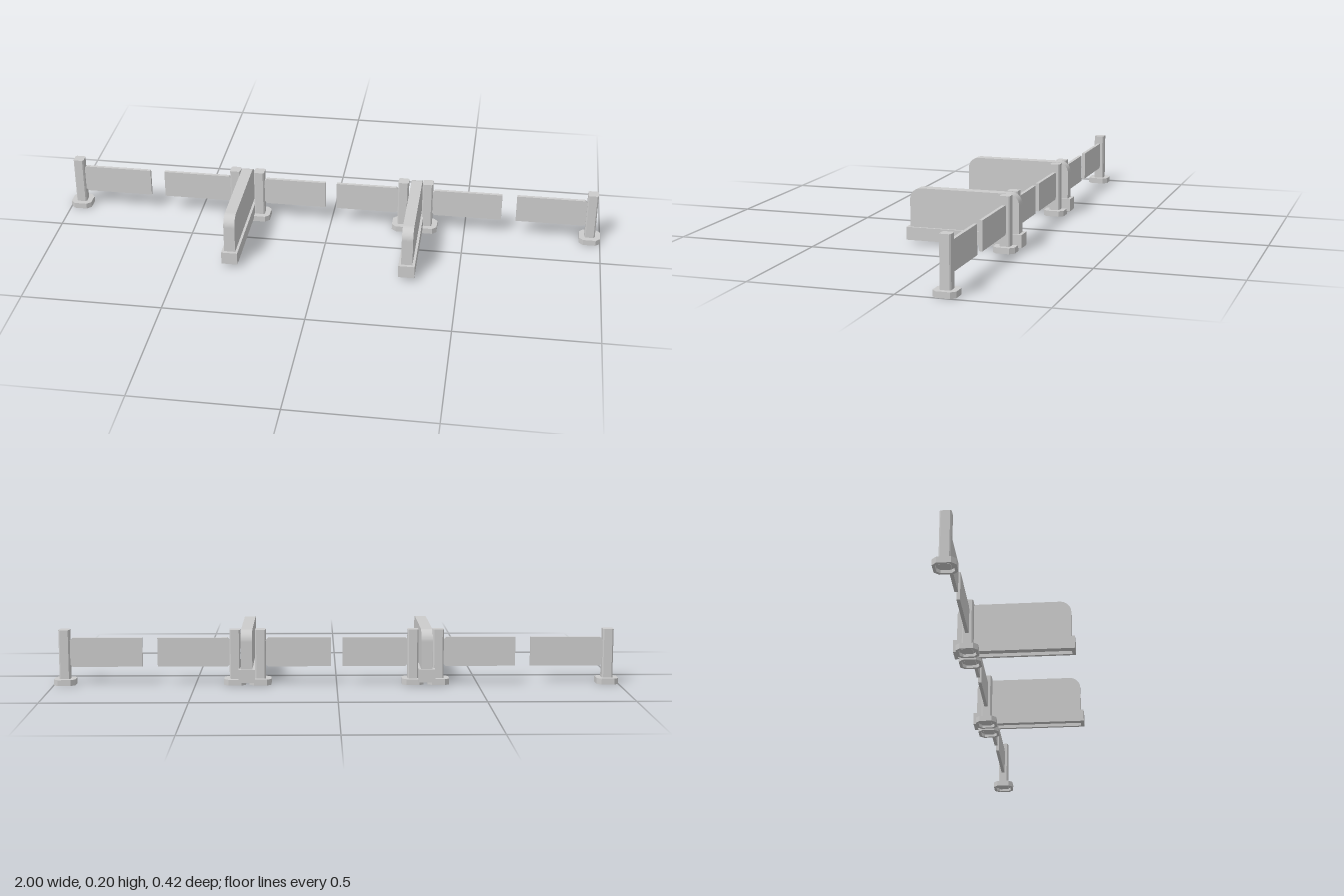
import * as THREE from 'three';

const material = new THREE.MeshStandardMaterial({ color: 0xcccccc, flatShading: true });
const smooth = new THREE.MeshStandardMaterial({ color: 0xcccccc });
const LINE_Z = -0.158;

// Square of half-width h with its corners cut by c
function cutSquare(h, c, PathType = THREE.Shape) {
  const k = h - c;
  return new PathType([
    [h, -k], [h, k], [k, h], [-k, h], [-h, k], [-h, -k], [-k, -h], [k, -h],
  ].map(([x, y]) => new THREE.Vector2(x, y)));
}

// Rectangle centred on the origin
function rectangle(w, h, PathType = THREE.Shape) {
  return new PathType([
    new THREE.Vector2(-w / 2, -h / 2), new THREE.Vector2(w / 2, -h / 2),
    new THREE.Vector2(w / 2, h / 2), new THREE.Vector2(-w / 2, h / 2),
  ]);
}

// Extrude a floor-plan shape upward from y0 to y1
function riseMesh(name, shape, y0, y1) {
  const geometry = new THREE.ExtrudeGeometry(shape, { depth: y1 - y0, bevelEnabled: false });
  geometry.rotateX(-Math.PI / 2).translate(0, y0, 0);
  const mesh = new THREE.Mesh(geometry, material);
  mesh.name = name;
  return mesh;
}

// Post on an octagonal foot, with a barrier panel reaching in direction dir
function createGate(name, x, dir, reach) {
  const gate = new THREE.Group();
  gate.name = name;

  // Foot: hollow rim under a solid cap
  const rim = cutSquare(0.0385, 0.0155);
  rim.holes.push(cutSquare(0.029, 0.011, THREE.Path));
  gate.add(riseMesh('footRim', rim, 0, 0.012));
  gate.add(riseMesh('footCap', cutSquare(0.0385, 0.0155), 0.012, 0.021));
  gate.add(riseMesh('post', cutSquare(0.019, 0.0045), 0.005, 0.196));

  // Panel: corners cut next to the post, square at the free end
  const near = 0.017, cut = 0.01, low = 0.063, high = 0.166;
  const outline = new THREE.Shape([
    [near, low + cut], [near + cut, low], [reach, low],
    [reach, high], [near + cut, high], [near, high - cut],
  ].map(([px, py]) => new THREE.Vector2(px * dir, py)));
  const geometry = new THREE.ExtrudeGeometry(outline, { depth: 0.012, bevelEnabled: false });
  geometry.translate(0, 0, -0.006);
  const panel = new THREE.Mesh(geometry, material);
  panel.name = 'panel';
  gate.add(panel);

  gate.position.set(x, 0, LINE_Z);
  return gate;
}

// Divider: long round-cornered wall on a wider plinth
function createDivider(name, x) {
  const divider = new THREE.Group();
  divider.name = name;

  // Plinth with a shallow recess underneath
  const rim = rectangle(0.058, 0.42);
  rim.holes.push(rectangle(0.038, 0.396, THREE.Path));
  divider.add(riseMesh('plinthRim', rim, 0.012, 0.024));
  divider.add(riseMesh('plinth', rectangle(0.058, 0.42), 0.024, 0.058));

  // Wall drawn in side view, then turned to run along z
  const half = 0.198, top = 0.196, r = 0.04;
  const side = new THREE.Shape();
  side.moveTo(-half, 0.05);
  side.lineTo(half, 0.05);
  side.lineTo(half, top - r);
  side.absarc(half - r, top - r, r, 0, Math.PI / 2);
  side.lineTo(-half + r, top);
  side.absarc(-half + r, top - r, r, Math.PI / 2, Math.PI);
  side.closePath();
  const geometry = new THREE.ExtrudeGeometry(side, { depth: 0.04, bevelEnabled: false, curveSegments: 8 });
  geometry.translate(0, 0, -0.02).rotateY(Math.PI / 2);
  const wall = new THREE.Mesh(geometry, smooth);
  wall.name = 'wall';
  divider.add(wall);

  divider.position.x = x;
  return divider;
}

export function createModel() {
  const model = new THREE.Group();
  model.name = 'entranceGates';
  for (const s of [-1, 1]) {
    const hand = s > 0 ? 'left' : 'right';
    model.add(createDivider(hand + 'Divider', s * 0.318));
    // Outer lane pair, then the inner half-gate facing the centre lane
    model.add(createGate(hand + 'EndGate', s * 0.9615, -s, 0.274));
    model.add(createGate(hand + 'OuterGate', s * 0.36, s, 0.274));
    model.add(createGate(hand + 'InnerGate', s * 0.27, -s, 0.249));
  }
  return model;
}
